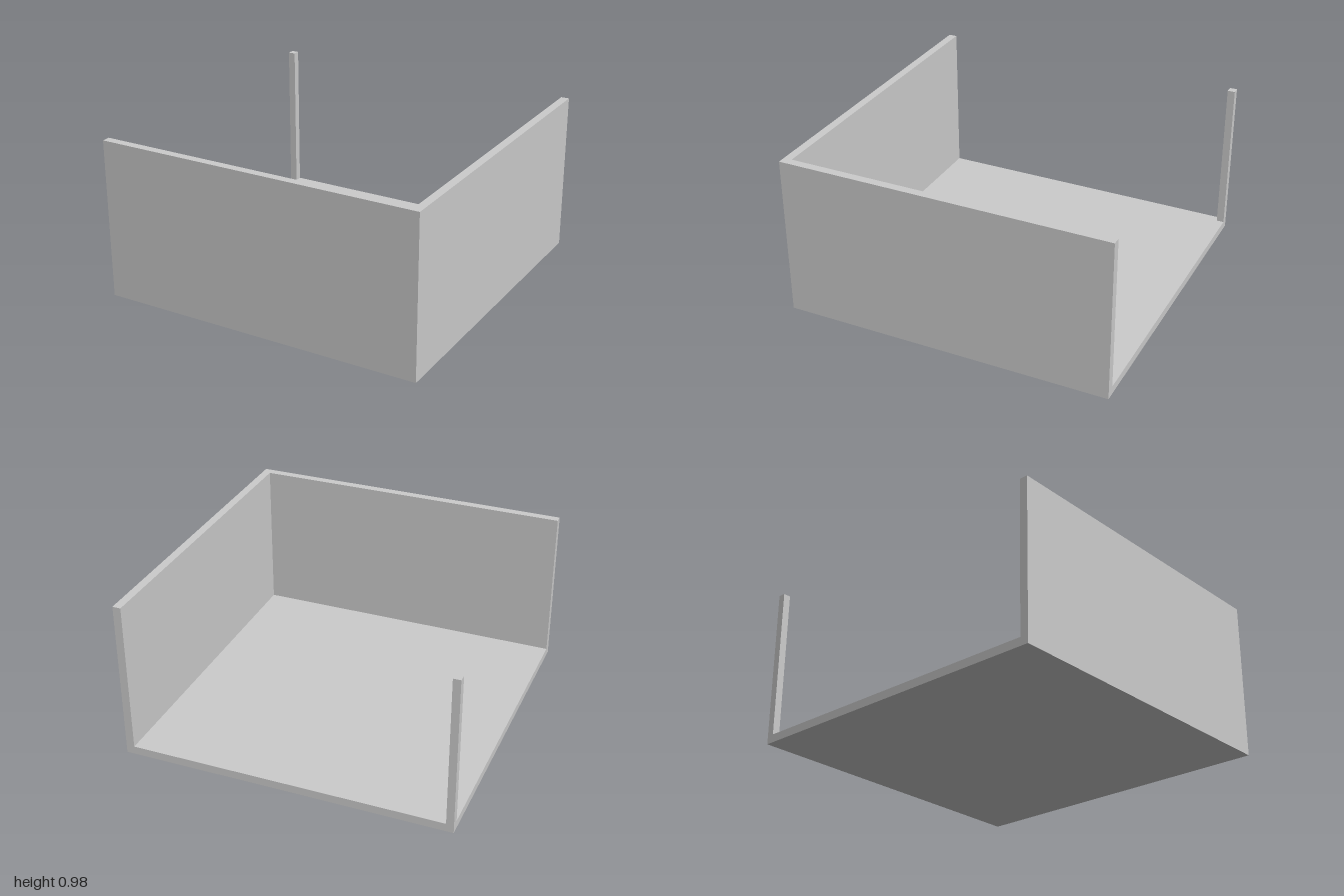
import * as THREE from 'three';

const HEIGHT = 0.975;
const THICK = 0.05; // floor and walls
const POST = 0.045;

export function createModel() {
  const model = new THREE.Group();
  model.name = 'openBox';
  const material = new THREE.MeshStandardMaterial({ color: 0xcccccc });

  // Box spanning two opposite corners
  const addBox = (name, min, max) => {
    const size = max.map((v, i) => v - min[i]);
    const mesh = new THREE.Mesh(new THREE.BoxGeometry(...size), material);
    mesh.position.set(...max.map((v, i) => (v + min[i]) / 2));
    mesh.name = name;
    model.add(mesh);
  };

  // Square floor slab
  addBox('floor', [-1, 0, -1], [1, THICK, 1]);

  // Two walls meeting at the front left corner
  addBox('frontWall', [-1, THICK, 1 - THICK], [1, HEIGHT, 1]);
  addBox('leftWall', [1 - THICK, THICK, -1], [1, HEIGHT, 1 - THICK]);

  // Slim post on the opposite corner
  addBox('cornerPost', [-1, THICK, -1], [-1 + POST, HEIGHT, -1 + POST]);

  return model;
}
